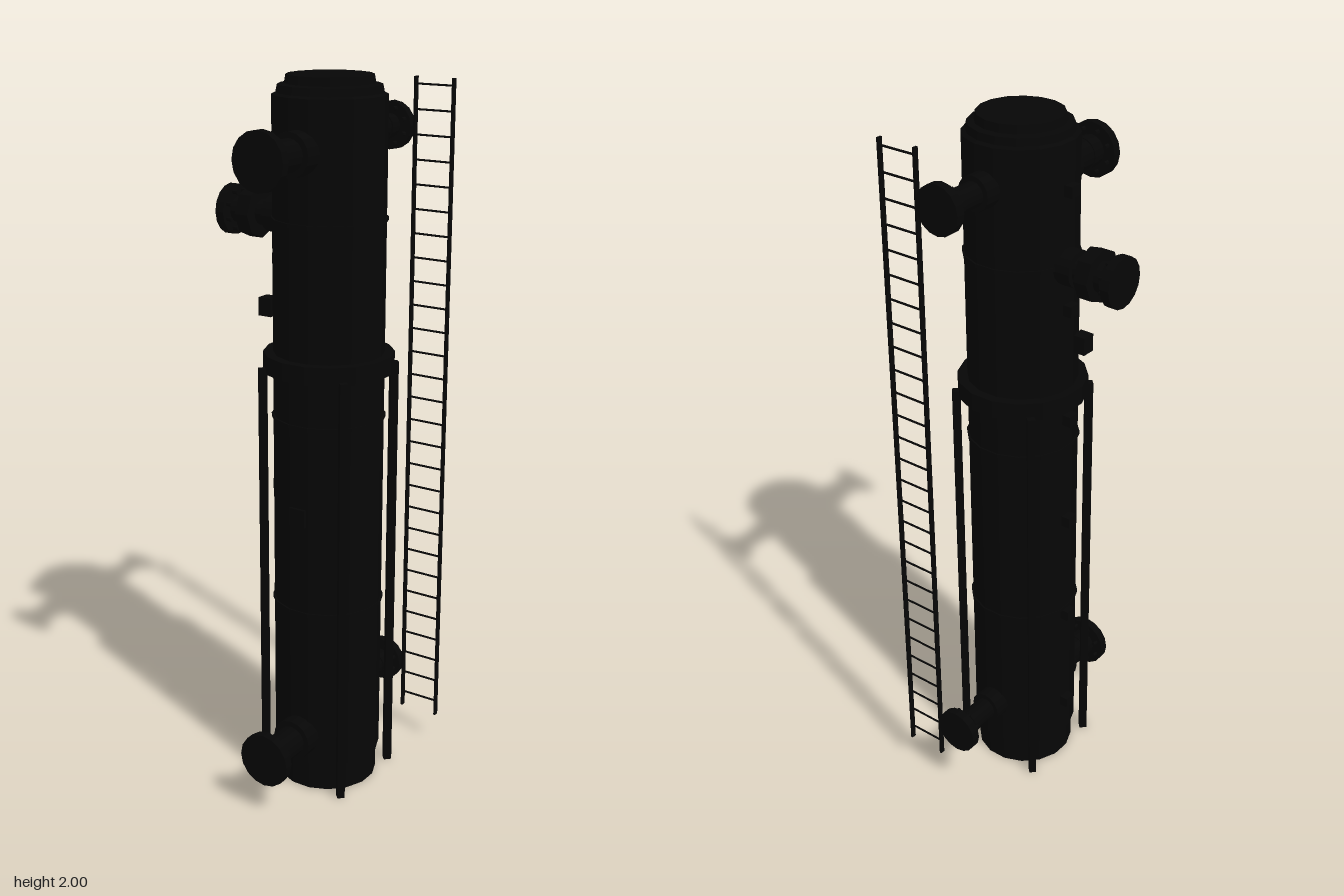
import * as THREE from 'three';

const black = new THREE.MeshStandardMaterial({ color: 0x060606, flatShading: true });
black.name = 'black steel';

const CX = 0.063; // column axis
const SIDES = 16;

function add(parent, name, geometry, x = 0, y = 0, z = 0) {
  const mesh = new THREE.Mesh(geometry, black);
  mesh.name = name;
  mesh.position.set(x, y, z);
  parent.add(mesh);
  return mesh;
}

// Faceted solid of revolution from [radius, height] pairs, bottom to top
function turned(profile, sides = SIDES) {
  const pts = profile.map(([r, y]) => new THREE.Vector2(r, y));
  return new THREE.LatheGeometry(pts, sides, Math.PI / sides);
}

// Flanged nozzle built along +z from the column axis, then turned to its heading
function nozzle(name, y, heading, s) {
  const g = new THREE.Group();
  g.name = name;
  g.position.set(CX, y, 0);
  g.rotation.y = heading;
  const disc = (part, r, z0, z1, sides = 16) => {
    const geo = new THREE.CylinderGeometry(r, r, z1 - z0, sides);
    geo.rotateX(Math.PI / 2);
    add(g, part, geo, 0, 0, (z0 + z1) / 2);
  };
  disc('pipe', s.pipe, 0.1, s.end - 0.01);
  disc('reinforcingPad', s.pad, 0.13, s.padEnd);
  disc('weldNeck', s.neck, s.end - 0.068, s.end - 0.048);
  disc('flange', s.flange, s.end - 0.025, s.end);
  for (let i = 0; i < 8; i++) {
    const a = (i + 0.5) * Math.PI / 4, r = s.flange * 0.77;
    const bolt = new THREE.CylinderGeometry(0.006, 0.006, 0.016, 6);
    bolt.rotateX(Math.PI / 2);
    add(g, 'bolt', bolt, r * Math.cos(a), r * Math.sin(a), s.end - 0.032);
  }
  if (s.valve) disc('valveBody', s.valve, 0.217, 0.257, 8);
  return g;
}

export function createModel() {
  const model = new THREE.Group();
  model.name = 'processColumn';

  // Shell with base skirt and stepped top head
  add(model, 'columnShell', turned([
    [0, 0], [0.142, 0], [0.142, 0.085], [0.151, 0.085], [0.151, 1.95],
    [0.14, 1.955], [0.136, 1.975], [0.118, 1.978], [0.114, 2.0], [0, 2.0],
  ]), CX);

  // Thin weld seams
  for (const y of [0.55, 1.09, 1.63]) {
    add(model, 'weldSeam', turned([[0.14, -0.005], [0.156, -0.005], [0.156, 0.005], [0.14, 0.005]]), CX, y);
  }

  // Support collar
  add(model, 'supportCollar', turned([
    [0.14, 1.22], [0.178, 1.22], [0.178, 1.27], [0.14, 1.27],
  ]), CX);

  // Four square legs set on the diagonals
  for (let i = 0; i < 4; i++) {
    const a = Math.PI / 4 + i * Math.PI / 2;
    const leg = add(model, 'supportLeg', new THREE.BoxGeometry(0.021, 1.23, 0.022),
      CX + 0.182 * Math.sin(a), 0.615, 0.182 * Math.cos(a));
    leg.rotation.y = a;
  }

  // Nozzles: two in front, two behind, one with a valve at the side
  const front = { pipe: 0.043, pad: 0.059, padEnd: 0.188, neck: 0.046, flange: 0.077, end: 0.323 };
  const back = { pipe: 0.033, pad: 0.047, padEnd: 0.19, neck: 0.037, flange: 0.066, end: 0.325 };
  const side = { pipe: 0.035, pad: 0.05, padEnd: 0.187, neck: 0.042, flange: 0.069, end: 0.323, valve: 0.071 };
  model.add(
    nozzle('frontLowerNozzle', 0.168, 0, front),
    nozzle('frontUpperNozzle', 1.815, 0, front),
    nozzle('backLowerNozzle', 0.22, Math.PI, back),
    nozzle('backUpperNozzle', 1.84, Math.PI, back),
    nozzle('sideValveNozzle', 1.625, -Math.PI / 2, side),
  );

  // Wall clips, junction box and front plate
  for (let i = 0; i < 6; i++) {
    add(model, 'wallClip', new THREE.BoxGeometry(0.03, 0.03, 0.035), -0.096, 0.21 + i * 0.324, 0);
  }
  add(model, 'junctionBox', new THREE.BoxGeometry(0.04, 0.05, 0.04), -0.092, 1.385, 0.06);
  add(model, 'frontPlate', new THREE.BoxGeometry(0.05, 0.05, 0.012), CX, 0.835, 0.152);

  // Ladder behind the column
  const ladder = new THREE.Group();
  ladder.name = 'ladder';
  for (const x of [0.141, 0.256]) {
    add(ladder, 'ladderRail', new THREE.BoxGeometry(0.006, 1.89, 0.014), x, 1.03, -0.305);
  }
  for (let i = 0; i < 28; i++) {
    const rung = new THREE.CylinderGeometry(0.003, 0.003, 0.115, 6);
    rung.rotateZ(Math.PI / 2);
    add(ladder, 'ladderRung', rung, 0.1985, 0.13 + i * 0.0676, -0.305);
  }
  model.add(ladder);

  return model;
}
